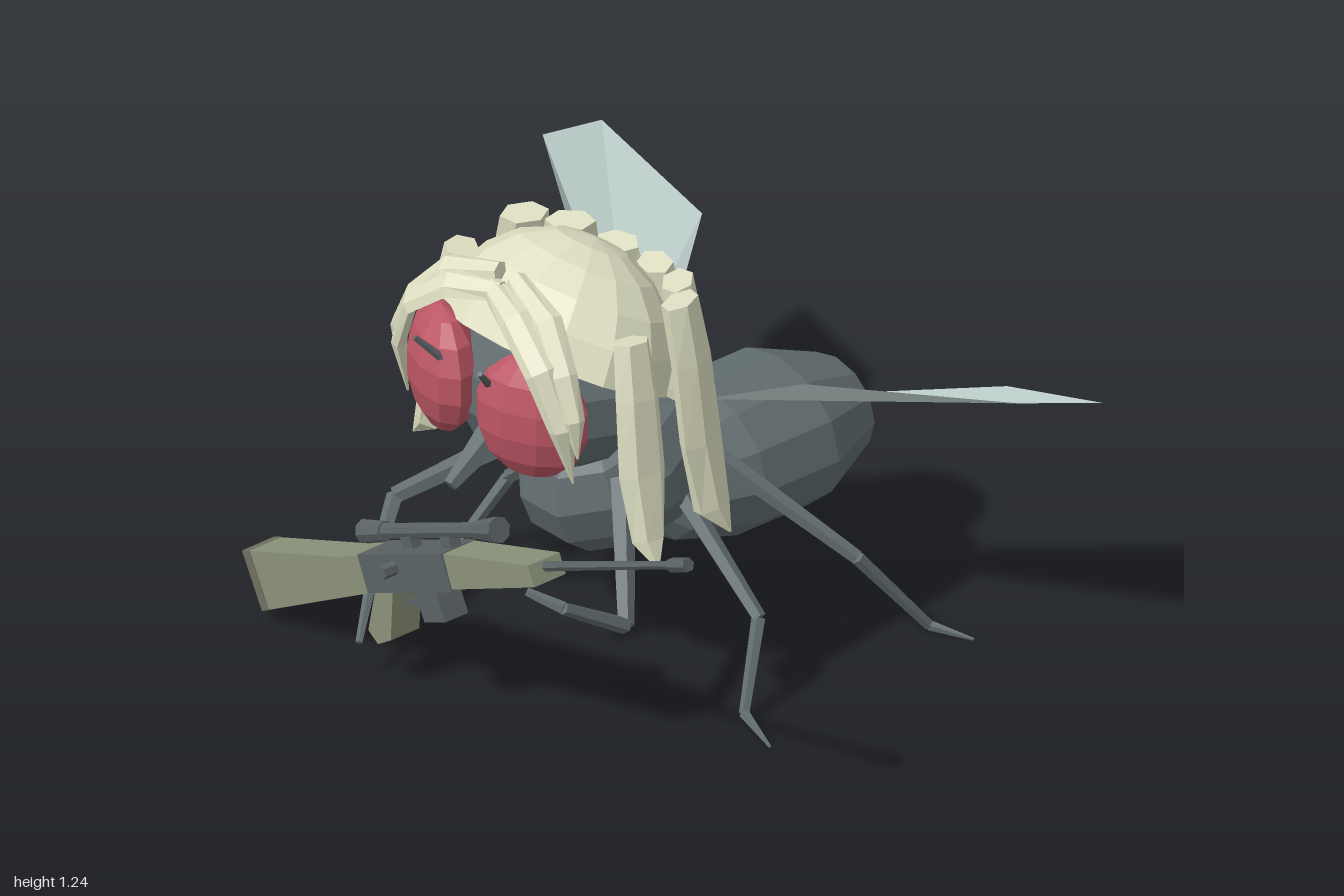
import * as THREE from 'three';

const mat = (name, color) => {
  const m = new THREE.MeshStandardMaterial({ color });
  m.name = name;
  return m;
};
const V = (x, y, z) => new THREE.Vector3(x, y, z);

export function createModel() {
  const root = new THREE.Group();
  const body = mat('slate body', 0x626d70);
  const hair = mat('blond hair', 0xdedfc2);
  const red = mat('red eye', 0xbd5765);
  const wing = mat('pale wing', 0xcbdedb);
  const metal = mat('gun metal', 0x5a6264);
  const khaki = mat('khaki stock', 0x8a927a);
  const pad = mat('butt pad', 0x70715f);
  hair.side = THREE.DoubleSide;
  wing.side = THREE.DoubleSide;

  // Faceted mesh
  function add(name, geo, material, parent = root) {
    const g = geo.index ? geo.toNonIndexed() : geo;
    g.computeVertexNormals();
    const m = new THREE.Mesh(g, material);
    m.name = name;
    parent.add(m);
    return m;
  }
  function blob(name, material, p, r, seg = [10, 7]) {
    const m = add(name, new THREE.SphereGeometry(1, seg[0], seg[1]), material);
    m.position.set(...p);
    m.scale.set(...r);
    return m;
  }
  // Tapered rod between two points
  function rod(name, a, b, ra, rb, material, parent = root, sides = 5) {
    const d = b.clone().sub(a);
    const m = add(name, new THREE.CylinderGeometry(rb, ra, d.length(), sides), material, parent);
    m.position.copy(a).add(b).multiplyScalar(0.5);
    m.quaternion.setFromUnitVectors(V(0, 1, 0), d.normalize());
    return m;
  }

  // Abdomen
  const prof = [[0, 0], [0.07, 0], [0.19, 0.08], [0.25, 0.27], [0.25, 0.52], [0.155, 0.725], [0, 0.8]];
  const abdomen = add('abdomen', new THREE.LatheGeometry(prof.map(p => new THREE.Vector2(...p)), 12), body);
  abdomen.rotation.x = -Math.PI / 2;
  abdomen.scale.z = 0.85;
  abdomen.position.set(0, 0.41, 0.02);

  // Thorax and head
  blob('thorax', body, [0, 0.535, 0.06], [0.245, 0.225, 0.295]).rotation.x = 0.4;
  blob('scutellum', body, [0, 0.68, -0.12], [0.15, 0.09, 0.11], [8, 5]);
  blob('head', body, [0, 0.87, 0.3], [0.31, 0.25, 0.25]);
  rod('proboscis', V(0, 0.76, 0.49), V(0, 0.655, 0.64), 0.045, 0.02, body);

  // Eyes and feelers
  for (const s of [1, -1]) {
    blob('eye', red, [s * 0.178, 0.895, 0.51], [0.165, 0.18, 0.09], [10, 7]).rotation.y = s * 0.42;
    rod('feeler', V(s * 0.08, 0.95, 0.56), V(s * 0.13, 1.05, 0.65), 0.014, 0.008, metal);
  }

  // Hair cap: tilted half sphere, open over the face
  const cap = add('hairCap', new THREE.SphereGeometry(1, 14, 5, 0, Math.PI * 2, 0, Math.PI / 2), hair);
  cap.position.set(0, 0.94, 0.28);
  cap.scale.set(0.36, 0.315, 0.285);
  cap.rotation.x = -0.47;

  // Lock of hair: hexagonal sections lofted along a path
  function lock(name, pts, widths, thick) {
    const N = 6, pos = [], idx = [];
    const centre = V(0, 0.9, 0.25);
    pts.forEach((p, i) => {
      const t = pts[Math.min(i + 1, pts.length - 1)].clone().sub(pts[Math.max(i - 1, 0)]).normalize();
      const o = p.clone().sub(centre);
      o.addScaledVector(t, -o.dot(t)).normalize();
      const s = o.clone().cross(t);
      const w = widths[i], k = Math.min(thick, w);
      for (let j = 0; j < N; j++) {
        const a = j / N * Math.PI * 2;
        const v = p.clone().addScaledVector(s, Math.cos(a) * w).addScaledVector(o, Math.sin(a) * k);
        pos.push(v.x, v.y, v.z);
      }
    });
    for (let i = 0; i < pts.length - 1; i++) {
      for (let j = 0; j < N; j++) {
        const a = i * N + j, b = i * N + (j + 1) % N;
        idx.push(a, b, b + N, a, b + N, a + N);
      }
    }
    for (let j = 1; j < N - 1; j++) idx.push(0, j + 1, j);
    const g = new THREE.BufferGeometry();
    g.setAttribute('position', new THREE.Float32BufferAttribute(pos, 3));
    g.setIndex(idx);
    add(name, g, hair);
  }

  // Hanging locks round the sides and back: angle, top, bottom, width
  const hang = [[-18, 1.11, 0.5, 0.07], [29, 1.15, 0.49, 0.09], [53, 1.14, 0.47, 0.09], [78, 1.12, 0.52, 0.085]];
  for (const s of [1, -1]) {
    for (const [deg, top, low, w] of hang) {
      const a = deg * Math.PI / 180;
      const at = (f, r) => V(s * Math.cos(a) * (r + 0.015), low + (top - low) * f, 0.23 - Math.sin(a) * r * 0.72);
      lock('hangingLock', [at(1, 0.34), at(0.75, 0.375), at(0.4, 0.405), at(0.1, 0.44), at(0, 0.5)],
        [w * 0.75, w * 0.92, w, w * 0.7, 0.003], 0.045);
    }
    // Swept fringe
    lock('fringe', [V(s * -0.02, 1.19, 0.48), V(s * 0.13, 1.17, 0.53), V(s * 0.26, 1.07, 0.55),
      V(s * 0.325, 0.92, 0.535), V(s * 0.33, 0.75, 0.5)], [0.03, 0.045, 0.045, 0.035, 0.003], 0.022);
    lock('upperFringe', [V(s * 0.03, 1.215, 0.44), V(s * 0.2, 1.17, 0.48), V(s * 0.3, 1.06, 0.51),
      V(s * 0.35, 0.95, 0.515), V(s * 0.36, 0.84, 0.51)], [0.03, 0.045, 0.04, 0.03, 0.003], 0.022);
  }

  // Wings
  const outline = [[0.15, 0.7, -0.11], [0.45, 0.84, -0.2], [0.95, 0.88, -0.51],
    [1, 0.81, -0.76], [0.61, 0.69, -0.77], [0.2, 0.66, -0.29]];
  for (const s of [1, -1]) {
    const pos = [];
    for (let i = 1; i < outline.length - 1; i++) {
      const tri = [outline[0], outline[i], outline[i + 1]];
      if (s > 0) tri.reverse();
      for (const [x, y, z] of tri) pos.push(x * s, y, z);
    }
    const g = new THREE.BufferGeometry();
    g.setAttribute('position', new THREE.Float32BufferAttribute(pos, 3));
    add('wing', g, wing);
  }

  // Legs
  function leg(name, pts, radii) {
    for (let i = 0; i < pts.length - 1; i++) rod(name, pts[i], pts[i + 1], radii[i], radii[i + 1], body);
  }
  for (const s of [1, -1]) {
    leg('middleLeg', [V(s * 0.18, 0.5, 0.01), V(s * 0.5, 0.23, 0), V(s * 0.58, 0.02, 0.12), V(s * 0.74, 0.006, 0.17)],
      [0.03, 0.02, 0.015, 0.004]);
    leg('hindLeg', [V(s * 0.16, 0.51, -0.16), V(s * 0.48, 0.27, -0.36), V(s * 0.55, 0.025, -0.55), V(s * 0.66, 0.006, -0.61)],
      [0.028, 0.02, 0.015, 0.004]);
    leg('frontLeg', [V(s * 0.18, 0.58, 0.2), V(s * 0.46, 0.35, 0.43)], [0.035, 0.024]);
  }
  leg('leftForearm', [V(0.46, 0.35, 0.43), V(0.43, 0.46, 0.62), V(0.34, 0.49, 0.67)], [0.024, 0.018, 0.012]);
  leg('rightForearm', [V(-0.46, 0.35, 0.43), V(-0.35, 0.24, 0.6), V(-0.25, 0.11, 0.74)], [0.024, 0.018, 0.01]);

  // Rifle, laid along its own x axis and tilted across the body
  const rifle = new THREE.Group();
  rifle.name = 'rifle';
  rifle.position.z = 0.672;
  rifle.rotation.z = 0.41;
  root.add(rifle);
  function slab(name, pts, depth, material) {
    const shape = new THREE.Shape(pts.map(p => new THREE.Vector2(...p)));
    const g = new THREE.ExtrudeGeometry(shape, { depth, bevelEnabled: false });
    g.translate(0, 0, -depth / 2);
    add(name, g, material, rifle);
  }
  slab('buttPad', [[-0.584, 0.287], [-0.555, 0.29], [-0.568, 0.454], [-0.598, 0.456]], 0.115, pad);
  slab('stock', [[-0.555, 0.29], [-0.05, 0.338], [-0.08, 0.435], [-0.2, 0.435], [-0.568, 0.454]], 0.11, khaki);
  slab('receiver', [[-0.1, 0.335], [0.265, 0.335], [0.265, 0.442], [-0.1, 0.442]], 0.118, metal);
  slab('handguard', [[0.263, 0.341], [0.625, 0.345], [0.623, 0.405], [0.268, 0.44]], 0.11, khaki);
  slab('grip', [[-0.07, 0.35], [0.0, 0.34], [-0.07, 0.2], [-0.13, 0.19], [-0.155, 0.23]], 0.1, khaki);
  slab('magazine', [[0.075, 0.34], [0.17, 0.34], [0.175, 0.245], [0.085, 0.245]], 0.08, metal);
  slab('triggerGuard', [[-0.02, 0.34], [0.06, 0.34], [0.06, 0.29], [-0.01, 0.28], [-0.01, 0.295],
    [0.045, 0.3], [0.045, 0.33], [-0.02, 0.33]], 0.025, metal);

  const tube = (name, u0, u1, v, r0, r1, sides = 8) =>
    rod(name, V(u0, v, 0), V(u1, v, 0), r0, r1, metal, rifle, sides);
  tube('barrel', 0.6, 1.2, 0.385, 0.014, 0.011, 6);
  tube('muzzle', 1.17, 1.245, 0.385, 0.02, 0.02, 6);
  tube('scopeTube', -0.1, 0.42, 0.487, 0.022, 0.022);
  tube('scopeEyepiece', -0.12, -0.03, 0.487, 0.034, 0.028);
  tube('scopeLens', 0.36, 0.465, 0.487, 0.024, 0.037);
  for (const u of [0.05, 0.22]) {
    slab('scopeMount', [[u, 0.43], [u + 0.04, 0.43], [u + 0.04, 0.5], [u, 0.5]], 0.035, metal);
  }
  rod('boltHandle', V(0.045, 0.405, 0), V(0.045, 0.405, 0.105), 0.02, 0.02, metal, rifle, 6);

  return root;
}
